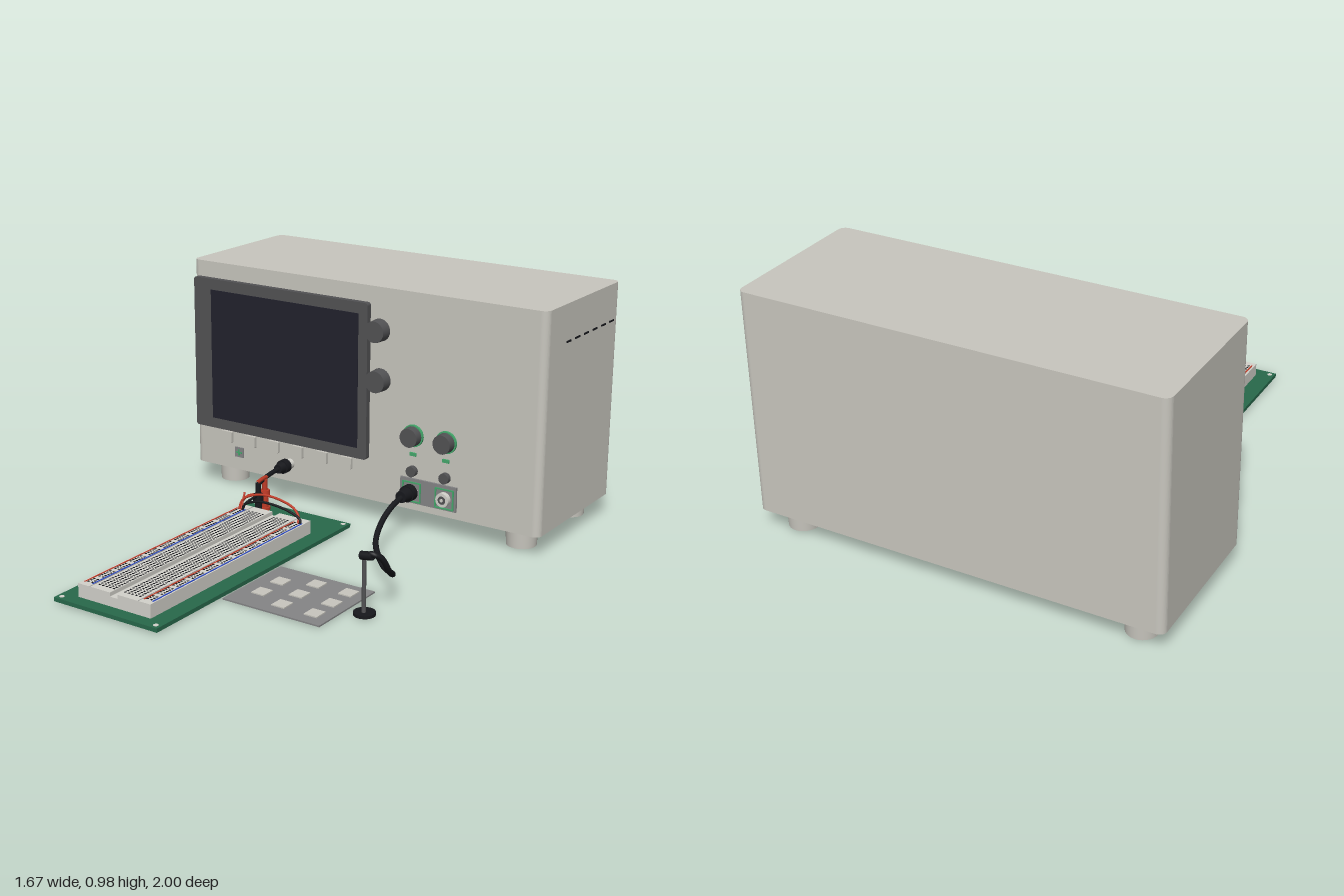
import * as THREE from 'three';
import { mergeGeometries } from 'three/addons/utils/BufferGeometryUtils.js';

const paint = (name, color) => Object.assign(new THREE.MeshStandardMaterial({ color }), { name });
const M = {
  casing: paint('warm grey casing', 0xc8c6be),
  dark: paint('dark grey plastic', 0x525254),
  screen: paint('screen glass', 0x21212d),
  board: paint('circuit board green', 0x28694b),
  green: paint('bright green', 0x45a86c),
  black: paint('black rubber', 0x17181c),
  red: paint('red', 0xbf3a26),
  blue: paint('blue', 0x2a48c4),
  grey: paint('mid grey', 0x858586),
  pale: paint('pale plastic', 0xd3d2cb),
};

export function createModel() {
  const root = new THREE.Group();
  root.name = 'benchOscilloscope';
  const FACE = -0.365; // z of the front panel

  const add = (name, geo, mat, x = 0, y = 0, z = 0) => {
    const mesh = new THREE.Mesh(geo, mat);
    mesh.name = name;
    mesh.position.set(x, y, z);
    root.add(mesh);
    return mesh;
  };
  // box given by its limits
  const box = (name, mat, x0, x1, y0, y1, z0, z1) =>
    add(name, new THREE.BoxGeometry(x1 - x0, y1 - y0, z1 - z0), mat, (x0 + x1) / 2, (y0 + y1) / 2, (z0 + z1) / 2);
  // upright cylinder from y0 to y1
  const post = (name, mat, x, z, y0, y1, r, rTop = r) =>
    add(name, new THREE.CylinderGeometry(rTop, r, y1 - y0, 28), mat, x, (y0 + y1) / 2, z);
  // cylinder along z from z0 to z1
  const dial = (name, mat, x, y, z0, z1, r, rFront = r) => {
    const g = new THREE.CylinderGeometry(rFront, r, z1 - z0, 28).rotateX(Math.PI / 2);
    return add(name, g, mat, x, y, (z0 + z1) / 2);
  };
  const wire = (name, mat, r, pts, n = 40) => {
    const curve = new THREE.CatmullRomCurve3(pts.map(p => new THREE.Vector3(...p)));
    return add(name, new THREE.TubeGeometry(curve, n, r, 10), mat);
  };
  const roundedShape = (w, h, r) => {
    const s = new THREE.Shape(), a = w / 2 - r, b = h / 2 - r;
    s.absarc(a, b, r, 0, Math.PI / 2);
    s.absarc(-a, b, r, Math.PI / 2, Math.PI);
    s.absarc(-a, -b, r, Math.PI, 1.5 * Math.PI);
    s.absarc(a, -b, r, 1.5 * Math.PI, 2 * Math.PI);
    s.closePath();
    return s;
  };
  const extrude = (s, depth) => new THREE.ExtrudeGeometry(s, { depth, bevelEnabled: false, curveSegments: 8 });
  // hollow rectangular frame on the front panel
  const frame = (name, mat, x, y, z, size, t, depth) => {
    const s = roundedShape(size, size, 0.003);
    s.holes.push(roundedShape(size - 2 * t, size - 2 * t, 0.002));
    add(name, extrude(s, depth), mat, x, y, z);
  };

  // Casing with rounded upright edges
  add('casing', extrude(roundedShape(1.663, 0.635, 0.03), 0.897).rotateX(-Math.PI / 2), M.casing, -0.002, 0.087, -0.6825);

  // Feet
  for (const x of [-0.707, 0.704]) for (const z of [-0.472, -0.897]) {
    post('foot', M.casing, x, z, 0.004, 0.075, 0.061, 0.064);
    post('footCollar', M.casing, x, z, 0.073, 0.089, 0.067);
  }

  // Side vent slots
  for (let i = 0; i < 6; i++) {
    const z = -0.547 - i * 0.0765;
    box('ventSlot', M.black, 0.826, 0.833, 0.83, 0.837, z - 0.019, z + 0.019);
  }

  // Display
  add('bezel', extrude(roundedShape(0.868, 0.653, 0.012), 0.025), M.dark, -0.379, 0.5895, FACE);
  box('screen', M.screen, -0.724, 0.013, 0.308, 0.87, FACE, -0.338);

  // Soft keys below the display
  for (let i = 0; i < 6; i++) {
    add('softKey', extrude(roundedShape(0.053, 0.05, 0.004), 0.014), M.casing, -0.662 + i * 0.1222, 0.228, FACE);
  }

  // Data port
  box('dataPort', M.grey, -0.625, -0.579, 0.144, 0.188, FACE, -0.36);
  box('portMark', M.green, -0.617, -0.587, 0.163, 0.169, FACE, -0.357);
  box('portMark', M.green, -0.605, -0.599, 0.152, 0.18, FACE, -0.357);

  // Main knobs
  for (const [x, y, r] of [[0.1, 0.81, 0.046], [0.105, 0.606, 0.047]]) {
    dial('mainKnob', M.dark, x, y, FACE, -0.317, r, r * 0.95);
  }

  // Channel controls and input connectors
  box('inputPanel', M.grey, 0.21, 0.468, 0.118, 0.222, FACE, -0.356);
  for (const x of [0.264, 0.415]) {
    dial('channelRing', M.green, x, 0.401, FACE, -0.355, 0.046);
    dial('channelKnob', M.dark, x, 0.401, FACE, -0.32, 0.041, 0.039);
    box('channelLamp', M.green, x - 0.015, x + 0.015, 0.316, 0.33, FACE, -0.358);
    dial('trimKnob', M.dark, x, 0.253, FACE, -0.343, 0.022);
    frame('inputFrame', M.green, x, 0.166, -0.358, 0.086, 0.006, 0.006);
    dial('inputSocket', M.pale, x, 0.166, FACE, -0.335, 0.029);
    dial('socketBore', M.dark, x, 0.166, FACE, -0.3335, 0.017);
    dial('socketPin', M.pale, x, 0.166, FACE, -0.331, 0.007);
  }

  // Probe plug, cable, and stand
  dial('probePlug', M.black, 0.262, 0.166, -0.35, -0.318, 0.034);
  dial('probePlugGrip', M.black, 0.262, 0.166, -0.32, -0.275, 0.03, 0.024);
  wire('probeCable', M.black, 0.0115, [
    [0.262, 0.165, -0.29], [0.264, 0.15, -0.21], [0.277, 0.115, -0.11], [0.32, 0.078, 0], [0.43, 0.058, 0.13],
    [0.55, 0.088, 0.25], [0.608, 0.155, 0.37], [0.612, 0.225, 0.43], [0.592, 0.242, 0.453], [0.565, 0.232, 0.45]], 90);
  post('standBase', M.black, 0.556, 0.447, 0, 0.012, 0.041);
  post('standPole', M.dark, 0.556, 0.452, 0.01, 0.235, 0.008);
  const head = add('probeHead', new THREE.CylinderGeometry(0.016, 0.016, 0.05, 20), M.black, 0.567, 0.231, 0.452);
  head.rotation.z = -Math.PI / 2 + 0.15;

  // Circuit board
  box('circuitBoard', M.board, -0.43, 0.052, 0.006, 0.022, -0.233, 0.997);
  for (const x of [-0.409, 0.031]) for (const z of [-0.212, 0.976]) {
    post('mountingHole', M.pale, x, z, 0.02, 0.0235, 0.01);
  }

  // Breadboard: cross-section with a central channel, run along z
  const L = -0.357, R = -0.019, C = (L + R) / 2, TOP = 0.076;
  const section = new THREE.Shape([
    [L, 0.022], [R, 0.022], [R, TOP], [C + 0.018, TOP], [C + 0.018, 0.06],
    [C - 0.018, 0.06], [C - 0.018, TOP], [L, TOP]].map(p => new THREE.Vector2(...p)));
  add('breadboard', extrude(section, 0.995), M.pale, 0, 0, -0.051);

  // Contact holes
  const holes = [];
  const hole = (x, z) => holes.push(new THREE.PlaneGeometry(0.009, 0.009).rotateX(-Math.PI / 2).translate(x, TOP + 0.001, z));
  for (let row = 0; row < 63; row++) {
    const z = 0.002 + row * 0.01465;
    for (let col = 0; col < 5; col++) {
      const dx = 0.027 + col * 0.017;
      hole(C - dx, z);
      hole(C + dx, z);
    }
    if (row % 6 !== 5) for (const dx of [0.13, 0.147]) {
      hole(C - dx, z);
      hole(C + dx, z);
    }
  }
  add('contactHoles', mergeGeometries(holes), M.black);

  // Power rail stripes and joints
  for (const [x, mat] of [[-0.346, M.red], [-0.308, M.blue], [-0.067, M.red], [-0.028, M.blue]]) {
    box('railStripe', mat, x - 0.003, x + 0.003, TOP, TOP + 0.0015, -0.005, 0.92);
  }
  for (const x of [-0.301, -0.075]) {
    box('railJoint', M.grey, x - 0.001, x + 0.001, TOP, TOP + 0.001, -0.051, 0.944);
  }

  // Jumper wires
  wire('redJumper', M.red, 0.005, [[-0.335, 0.075, 0], [-0.325, 0.115, -0.015], [-0.26, 0.142, -0.033],
    [-0.17, 0.143, -0.035], [-0.08, 0.122, -0.025], [-0.047, 0.095, -0.01], [-0.045, 0.075, 0]]);
  wire('blackJumper', M.black, 0.005, [[-0.318, 0.075, 0], [-0.31, 0.098, -0.004], [-0.25, 0.12, -0.012],
    [-0.17, 0.122, -0.014], [-0.08, 0.108, -0.01], [-0.036, 0.09, -0.004], [-0.034, 0.075, 0]]);

  // Binding posts on the circuit board
  for (const [mat, x, z] of [[M.red, -0.33, -0.172], [M.black, -0.322, -0.115]]) {
    post('bindingPostBase', mat, x, z, 0.022, 0.034, 0.022);
    post('bindingPost', mat, x, z, 0.034, 0.085, 0.015);
    post('bindingPostCap', mat, x, z, 0.08, 0.108, 0.022, 0.02);
    post('stackedPlug', mat, x, z, 0.106, 0.155, 0.011);
  }
  wire('redLead', M.red, 0.005, [[-0.33, 0.1, -0.172], [-0.342, 0.1, -0.13], [-0.34, 0.11, -0.06], [-0.337, 0.095, -0.02], [-0.335, 0.075, 0]]);
  wire('blackLead', M.black, 0.005, [[-0.322, 0.1, -0.115], [-0.315, 0.105, -0.07], [-0.318, 0.095, -0.02], [-0.318, 0.075, 0]]);
  wire('looseLead', M.red, 0.004, [[-0.322, 0.075, 0.005], [-0.325, 0.1, -0.01], [-0.328, 0.14, -0.03]]);

  // Lower left connector with split cable
  dial('outputSocket', M.pale, -0.338, 0.166, FACE, -0.33, 0.022);
  dial('outputPlug', M.black, -0.338, 0.166, -0.335, -0.305, 0.029);
  dial('outputPlugGrip', M.black, -0.338, 0.166, -0.307, -0.275, 0.025, 0.019);
  wire('outputCable', M.black, 0.01, [[-0.338, 0.166, -0.29], [-0.338, 0.163, -0.24], [-0.335, 0.157, -0.18]]);
  wire('redBranch', M.red, 0.008, [[-0.335, 0.158, -0.2], [-0.328, 0.161, -0.15], [-0.322, 0.158, -0.105]]);
  wire('blackBranch', M.black, 0.009, [[-0.336, 0.158, -0.2], [-0.332, 0.15, -0.15], [-0.322, 0.145, -0.11]]);

  // Keypad sheet
  box('keypadSheet', M.grey, 0.061, 0.486, 0.002, 0.008, 0.266, 0.632);
  const keys = [[0.147, 0.388], [0.147, 0.506]];
  for (const x of [0.273, 0.415]) for (const z of [0.335, 0.446, 0.556]) keys.push([x, z]);
  for (const [x, z] of keys) box('key', M.casing, x - 0.028, x + 0.028, 0.006, 0.0125, z - 0.029, z + 0.029);

  return root;
}
